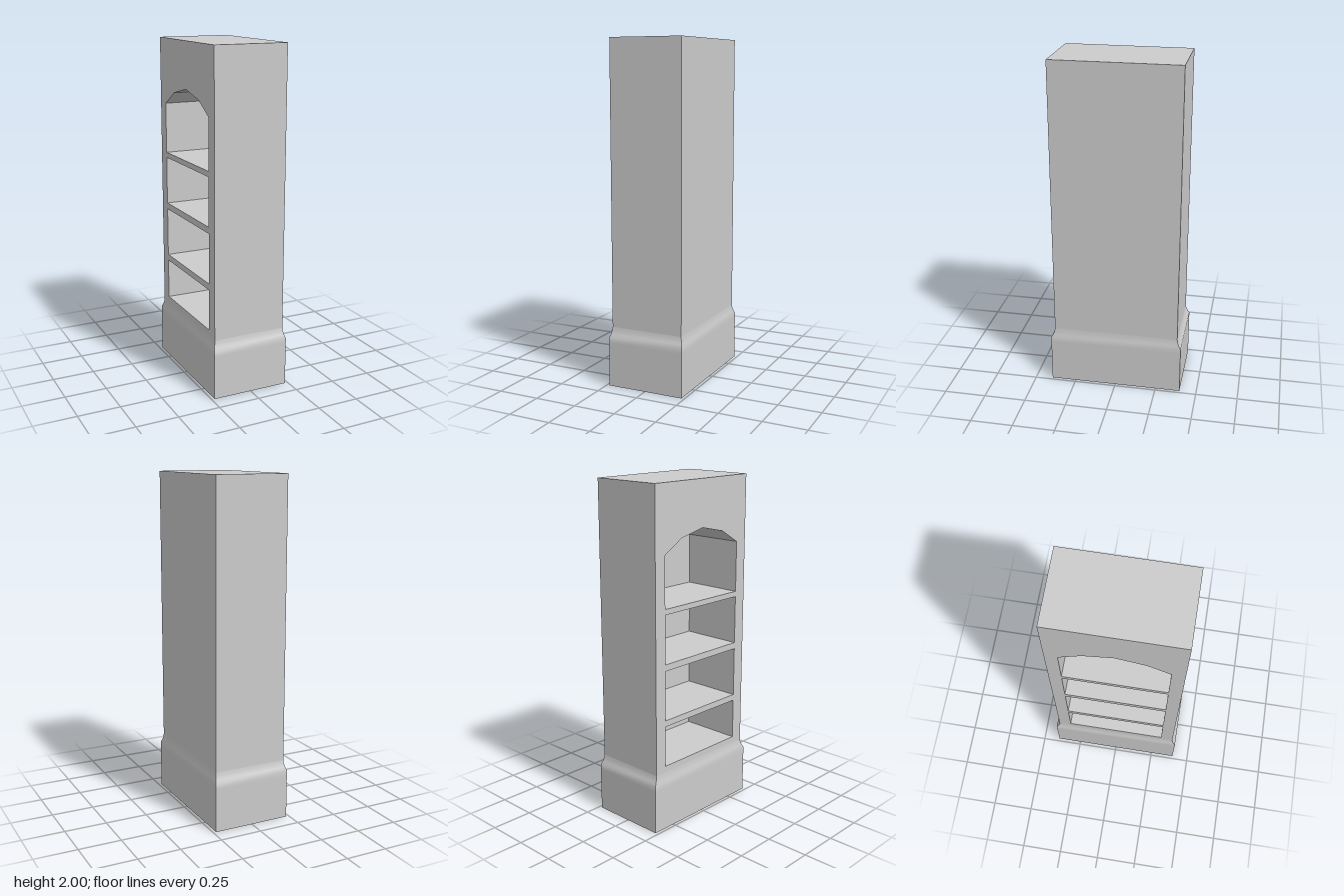
import * as THREE from 'three';
import { toCreasedNormals } from 'three/addons/utils/BufferGeometryUtils.js';

const HX = 0.22, HZ = 0.375;   // half size of the upper body
const BASE = 0.35, TOP = 2;    // body starts above the plinth
const BACK = 0.15;             // x of the niche back wall
const W = 0.3;                 // half width of the niches

const material = new THREE.MeshStandardMaterial({ color: 0xcccccc });

function addMesh(group, name, geometry) {
  const mesh = new THREE.Mesh(geometry, material);
  mesh.name = name;
  group.add(mesh);
  return mesh;
}

function polygon(points, Type) {
  return new Type(points.map(([u, v]) => new THREE.Vector2(u, v)));
}

// Rectangular rings of [flare, height] joined into walls, closed underneath
function plinthGeometry(profile) {
  const corners = [[1, 1], [1, -1], [-1, -1], [-1, 1]];
  const positions = [];
  for (const [t, y] of profile) {
    for (const [sx, sz] of corners) {
      positions.push(sx * (HX + 0.012 * t), y, sz * (HZ + 0.023 * t));
    }
  }
  const index = [0, 2, 1, 0, 3, 2];
  for (let r = 0; r < profile.length - 1; r++) {
    for (let k = 0; k < 4; k++) {
      const a = r * 4 + k, b = r * 4 + (k + 1) % 4;
      index.push(a, b, b + 4, a, b + 4, a + 4);
    }
  }
  const geometry = new THREE.BufferGeometry();
  geometry.setAttribute('position', new THREE.Float32BufferAttribute(positions, 3));
  geometry.setIndex(index);
  return toCreasedNormals(geometry, Math.PI / 4);
}

export function createModel() {
  const group = new THREE.Group();
  group.name = 'bookcase';

  // Plinth with a coved upper edge
  addMesh(group, 'plinth', plinthGeometry([
    [1, 0], [1, 0.26], [1, 0.29], [0.5, 0.31], [0.15, 0.33], [0, BASE],
  ]));

  // Shelved body: flat face pierced by three square niches and one arched niche
  const face = polygon([[-HZ, BASE], [HZ, BASE], [HZ, TOP], [-HZ, TOP]], THREE.Shape);
  for (const [low, high] of [[0.387, 0.63], [0.667, 0.962], [1.0, 1.285]]) {
    face.holes.push(polygon([[-W, low], [-W, high], [W, high], [W, low]], THREE.Path));
  }
  face.holes.push(polygon([
    [-W, 1.317], [-W, 1.615], [-0.17, 1.692], [0, 1.73], [0.17, 1.692], [W, 1.615], [W, 1.317],
  ], THREE.Path));
  const body = addMesh(group, 'shelvedBody', new THREE.ExtrudeGeometry(face, {
    depth: BACK + HX, bevelEnabled: false,
  }));
  body.rotation.y = -Math.PI / 2;
  body.position.x = BACK;

  // Solid panel behind the niches
  const panel = addMesh(group, 'rearPanel', new THREE.BoxGeometry(HX - BACK, TOP - BASE, 2 * HZ));
  panel.position.set((HX + BACK) / 2, (TOP + BASE) / 2, 0);

  return group;
}
